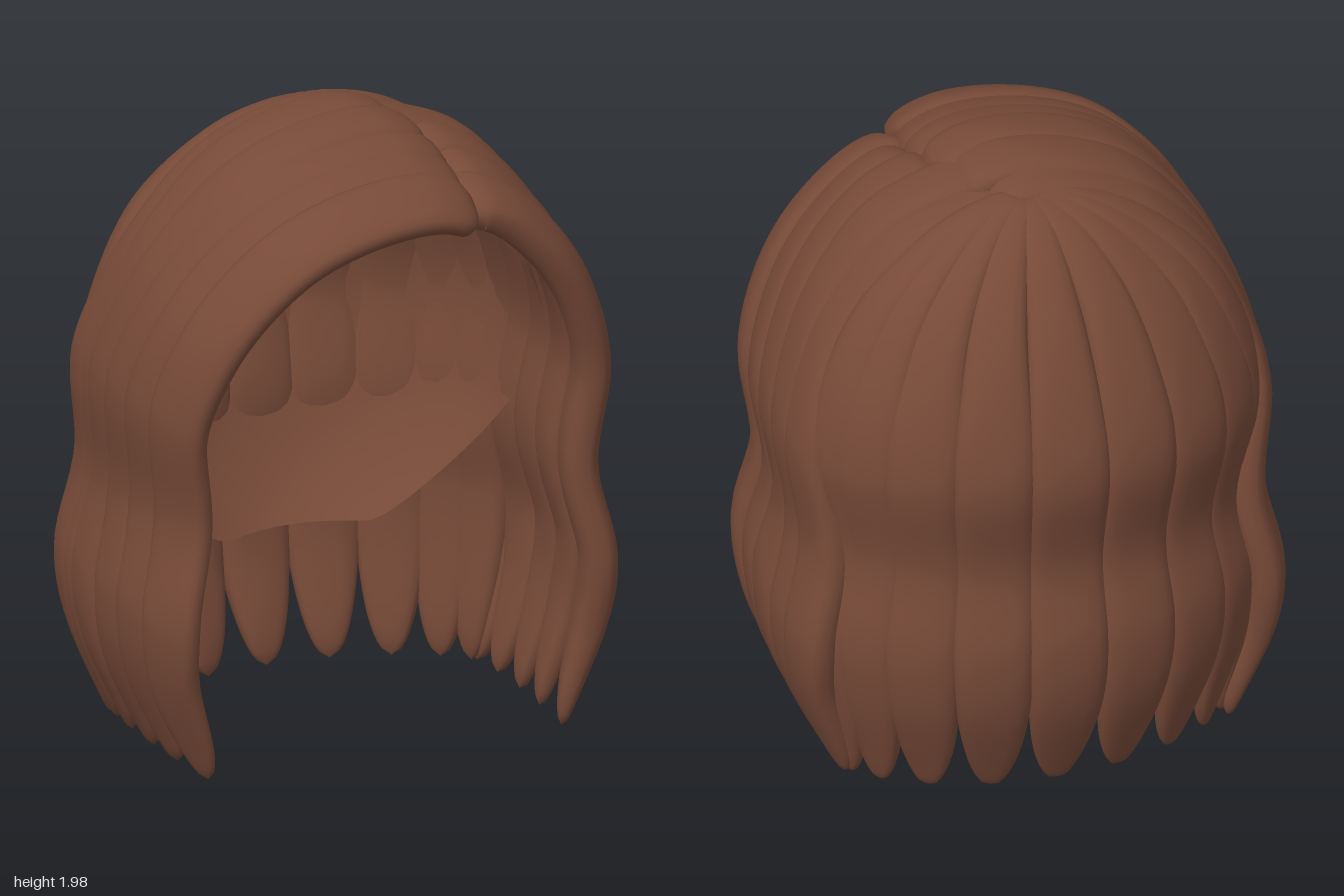
import * as THREE from 'three';

const hair = new THREE.MeshStandardMaterial({ color: 0x774a38, side: THREE.DoubleSide });
hair.name = 'brownHair';

const clamp = THREE.MathUtils.clamp;
const smooth = THREE.MathUtils.smoothstep;

// Closed grid of rings: at(i, k) gives a point of ring i
function ringGeometry(rings, around, at) {
  const pos = [], index = [];
  for (let i = 0; i <= rings; i++) {
    for (let k = 0; k < around; k++) {
      pos.push(...at(i, k).toArray());
      if (i === rings) continue;
      const a = i * around + k, b = i * around + (k + 1) % around;
      index.push(a, a + around, b, b, a + around, b + around);
    }
  }
  const g = new THREE.BufferGeometry();
  g.setAttribute('position', new THREE.Float32BufferAttribute(pos, 3));
  g.setIndex(index);
  g.computeVertexNormals();
  return g;
}

// A lock of hair: flat rounded section swept under a path on the outer surface
function lock(name, points, { width, depth, outward, rootWidth = 1 }) {
  const curve = new THREE.CatmullRomCurve3(points, false, 'centripetal');
  const rings = 60, around = 20;
  const low = points[points.length - 1].y;
  const frames = [];
  for (let i = 0; i <= rings; i++) {
    const u = (1 - Math.cos(Math.PI * i / rings)) / 4 + i / rings / 2;
    const p = curve.getPointAt(u), t = curve.getTangentAt(u);
    const n = outward(p);
    n.addScaledVector(t, -n.dot(t)).normalize();
    const s = new THREE.Vector3().crossVectors(t, n);
    const e = clamp((0.62 - p.y) / (0.62 - low), 0, 1);
    const root = Math.sqrt(1 - Math.pow(1 - clamp(u / 0.035, 0, 1), 2));
    const end = Math.max(0.002, Math.sqrt(1 - Math.pow(e, 2.3)) * root);
    const w = width * end * (rootWidth + (1 - rootWidth) * Math.min(1, u / 0.38));
    // The tip closes on the path itself
    frames.push({ c: p.addScaledVector(n, -depth * (1 - e * e * e)), s, n, w, d: depth * end });
  }
  const bulge = (v) => Math.sign(v) * Math.pow(Math.abs(v), 0.75);
  const g = ringGeometry(rings, around, (i, k) => {
    const f = frames[i], a = (k / around) * Math.PI * 2;
    return f.c.clone()
      .addScaledVector(f.s, f.w * bulge(Math.cos(a)))
      .addScaledVector(f.n, f.d * bulge(Math.sin(a)));
  });
  const mesh = new THREE.Mesh(g, hair);
  mesh.name = name;
  return mesh;
}

// Side profile from the parting down to the tip: [x, y]
const sideProfile = [[0.42, 1.86], [0.6, 1.66], [0.71, 1.44], [0.77, 1.18], [0.735, 0.85],
  [0.79, 0.55], [0.76, 0.32], [0.61, 0.015]];

function sideLock(name, sign, start, zTop, zLow, width, depth, bow = 0) {
  const height = 2 - 0.32 * Math.max(0, zTop - 0.1) - 0.6 * Math.max(0, -0.05 - zTop);
  const inset = 1 - 0.12 * Math.max(0, Math.abs(zLow) - 0.1);
  const points = [...start, ...sideProfile].map(([x, y]) => new THREE.Vector3(
    sign * x * inset,
    y > 1.2 ? 1.2 + (y - 1.2) * (height - 1.2) / 0.8 : y,
    zLow + (zTop - zLow) * smooth(y, 0.8, 1.85)
      + bow * Math.max(0, 1 - ((x - 0.2) / 0.5) ** 2) * smooth(y, 1.5, 1.8)
      + 0.03 * smooth(y, 0.25, 0.55) * (1 - smooth(y, 0.55, 0.85)) * Math.sign(zLow)));
  return lock(name, points, {
    width, depth,
    outward: (p) => new THREE.Vector3(p.x / 0.6, Math.max(0, p.y - 1.2) / 0.64, p.z),
  });
}

// Back profile from crown to tip: [y, spread in x, spread in z]
const backProfile = [[1.965, 0.02, 0.02], [1.925, 0.29, 0.22], [1.845, 0.51, 0.42], [1.66, 0.78, 0.69],
  [1.4, 0.945, 0.915], [1.18, 1, 1], [0.85, 0.94, 0.89], [0.58, 1, 0.97], [0.35, 0.97, 0.92], [0.015, 0.84, 0.62]];

function backLock(x, z, width) {
  const points = backProfile.map(([y, fx, fz]) => new THREE.Vector3(x * fx, y, -0.15 + (z + 0.15) * fz));
  return lock('backLock', points, {
    width, depth: 0.058, rootWidth: 0.4,
    outward: (p) => new THREE.Vector3(p.x / 0.6, Math.max(0, p.y - 1.2) / 0.64 + 0.001, (p.z + 0.15) / 0.26),
  });
}

// Thin rounded inner cap, cut off at the nape and open over the face
function innerCap() {
  const around = 96, rings = 40;
  const g = ringGeometry(rings, around, (i, k) => {
    const a = (k / around) * Math.PI * 2;
    const turn = Math.min(a, Math.PI * 2 - a);
    const rim = 0.52 + 1.27 * smooth(turn, 0.65, 2.85);
    const v = i / rings;
    const y = 1.9 - (1.9 - rim) * v * v * (2 - v);
    const r = Math.sqrt(Math.max(0, 1 - ((y - 1.2) / (y > 1.2 ? 0.7 : 0.81)) ** 2));
    const z = -Math.cos(a) * r;
    return new THREE.Vector3(Math.sin(a) * r * 0.67, y, z * (z < 0 ? 0.565 : 0.48));
  });
  const mesh = new THREE.Mesh(g, hair);
  mesh.name = 'innerCap';
  return mesh;
}

export function createModel() {
  const group = new THREE.Group();
  group.name = 'hair';
  group.add(innerCap());

  // Back locks fanning out from the crown
  for (const [x, z, w] of [[0, -0.665, 0.128], [0.24, -0.635, 0.125], [0.455, -0.545, 0.12],
    [0.61, -0.43, 0.11], [0.695, -0.32, 0.1]]) {
    group.add(backLock(x, z, w));
    if (x) group.add(backLock(-x, z, w));
  }

  // Left locks fall from the parting, the rear ones from the crown
  [[0.46, 0.39, 0.2], [0.31, 0.2, 0.2], [0.16, 0.04, 0.17], [0.02, -0.12, 0.06], [-0.1, -0.25, 0.04]]
    .forEach(([top, low, reach]) => group.add(sideLock('leftLock', 1,
      [[reach, 1.98 - reach * 0.4], [reach + 0.1, 1.97 - reach * 0.25]], top, low, 0.108, 0.06)));

  // Right locks sweep over the crown from the parting
  [[0.535, 0.39, 0.27], [0.39, 0.2, 0.28], [0.26, 0.04, 0.28], [0.13, -0.12, 0.26],
    [0.01, -0.24, 0.22], [-0.09, -0.29, 0.14]].forEach(([top, low, reach], i) =>
    group.add(sideLock(i ? 'rightLock' : 'sweptFringe', -1,
      [[-reach, 2 - reach * 0.3], [-reach * 0.5, 1.985], [0, 2], [0.22, 1.96]],
      top, low, 0.115, i ? 0.06 : 0.045, i < 4 ? 0.04 : 0)));

  return group;
}
